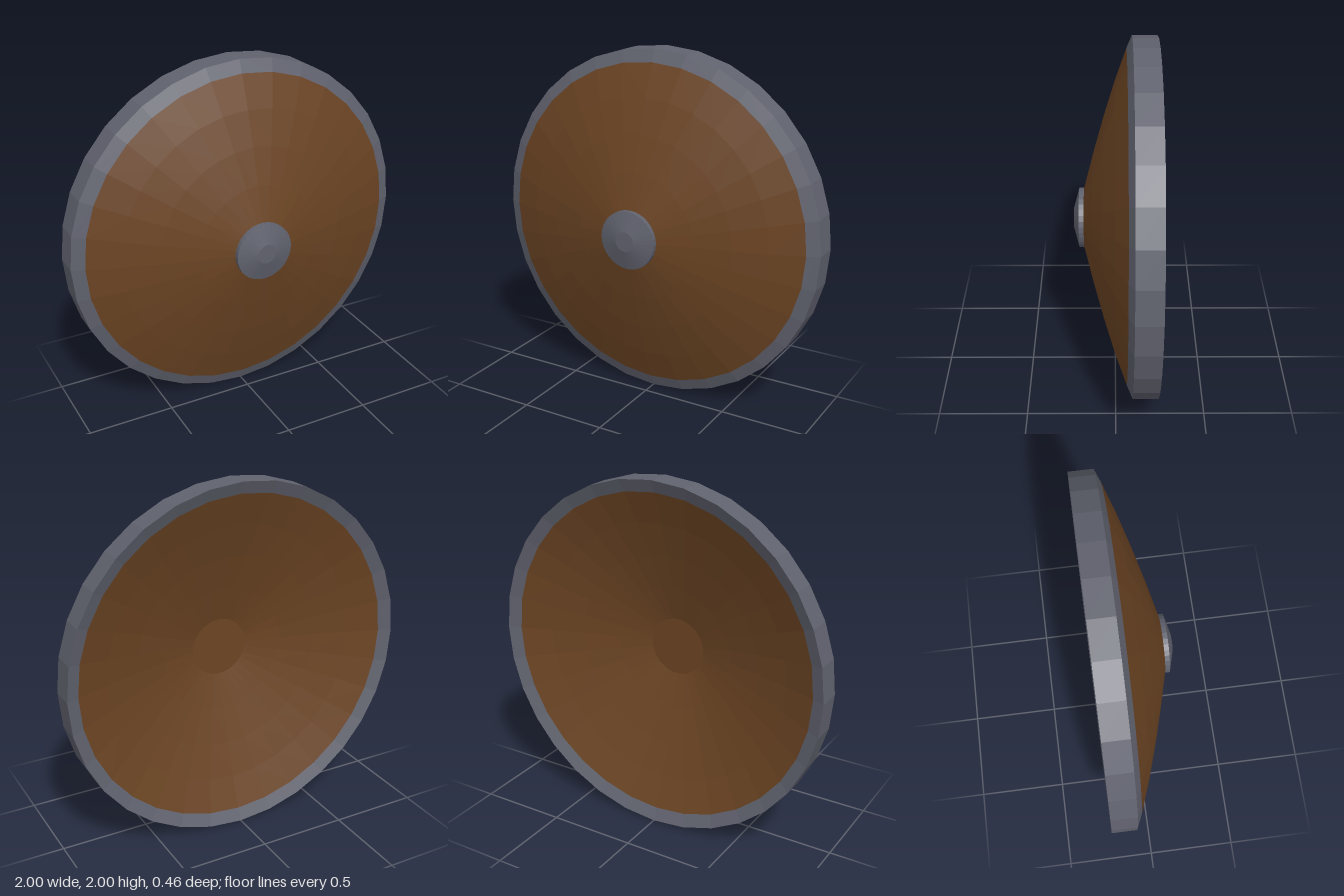
import * as THREE from 'three';

const SIDES = 32;
const THICKNESS = 0.14;

// Revolve [radius, z] points about the z axis, through the shield's centre
function turned(name, profile, color) {
  const geometry = new THREE.LatheGeometry(profile.map(([r, z]) => new THREE.Vector2(r, z)), SIDES);
  geometry.rotateX(Math.PI / 2);
  geometry.translate(0, 1, 0);
  const mesh = new THREE.Mesh(geometry, new THREE.MeshStandardMaterial({ color, flatShading: true }));
  mesh.name = name;
  return mesh;
}

export function createModel() {
  const group = new THREE.Group();
  group.name = 'roundShield';
  const wood = 0x6b4423, iron = 0x60626e;

  // Domed boards: the same curve in front and, one thickness behind, hollow at the back
  const dome = [[0.93, -0.06], [0.75, 0.005], [0.56, 0.065], [0.36, 0.122], [0.165, 0.173], [0, 0.173]];
  const behind = dome.map(([r, z]) => [r, z - THICKNESS]).reverse();
  group.add(turned('frontBoards', dome, wood));
  group.add(turned('backBoards', behind, wood));

  // Metal rim following the slope of the dome
  group.add(turned('rim', [[0.93, -0.2], [1, -0.23], [1, -0.09], [0.93, -0.06]], iron));

  // Central boss
  group.add(turned('boss', [[0.165, 0.17], [0.165, 0.2], [0.055, 0.23], [0, 0.23]], iron));

  return group;
}
